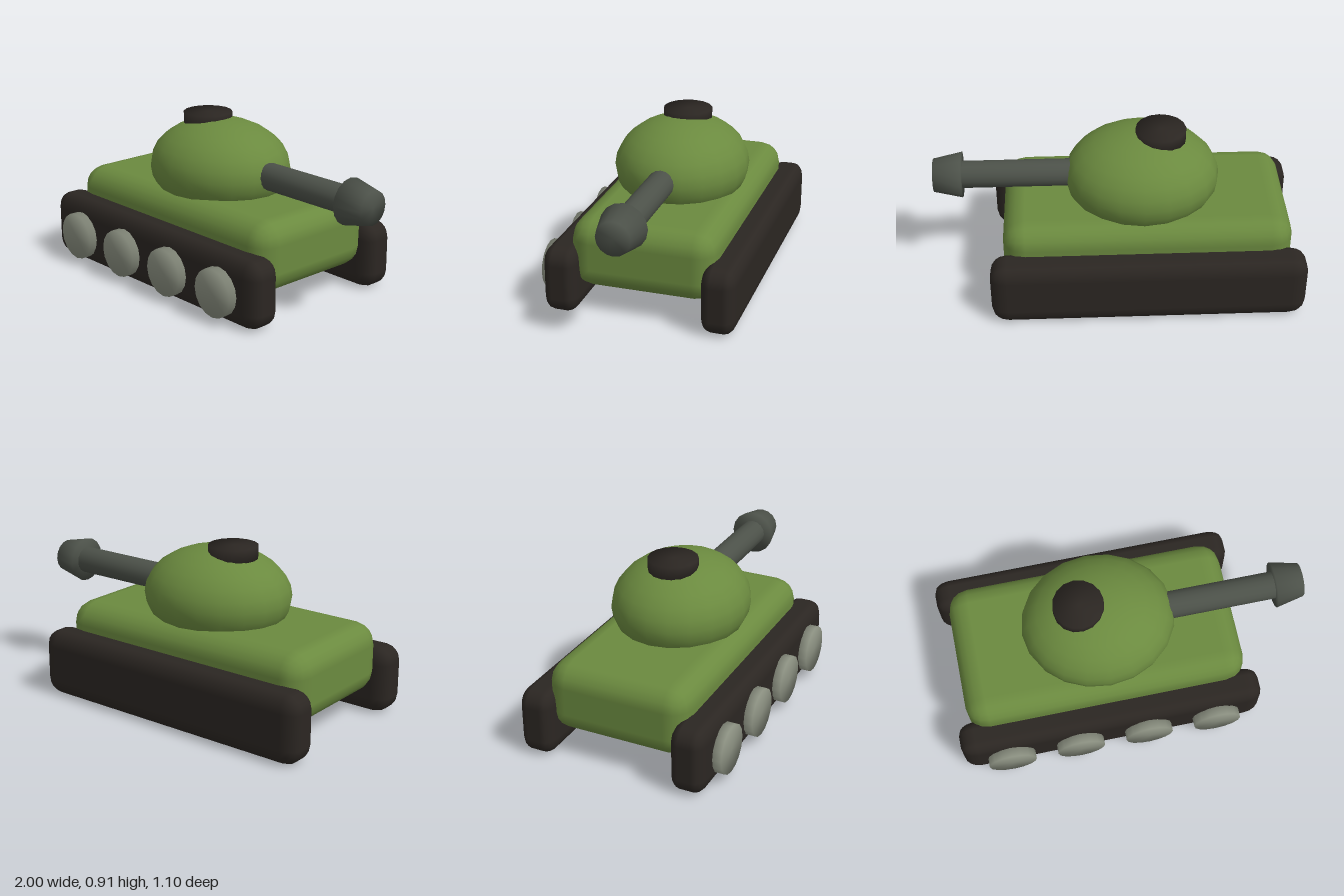
import * as THREE from 'three';
import { mergeVertices } from 'three/addons/utils/BufferGeometryUtils.js';
import { RoundedBoxGeometry } from 'three/addons/geometries/RoundedBoxGeometry.js';

const paint = (color) => new THREE.MeshStandardMaterial({ color });

// Cylinder whose normals flow over the rim, giving soft, domed shading
function softCylinder(rTop, rBottom, height, sides = 16) {
  const g = new THREE.CylinderGeometry(rTop, rBottom, height, sides);
  g.deleteAttribute('uv');
  g.deleteAttribute('normal');
  const merged = mergeVertices(g);
  merged.computeVertexNormals();
  return merged;
}

export function createModel() {
  const model = new THREE.Group();
  const green = paint(0x6b8a3f);
  const dark = paint(0x2b2622);
  const steel = paint(0x4c5149);
  const wheelGrey = paint(0x8a8f80);
  const midZ = -0.023;

  function add(name, geometry, material, x, y, z) {
    const mesh = new THREE.Mesh(geometry, material);
    mesh.name = name;
    mesh.position.set(x, y, z);
    model.add(mesh);
    return mesh;
  }

  // Body
  add('hull', new RoundedBoxGeometry(1.56, 0.39, 0.8, 2, 0.12), green, -0.15, 0.325, midZ);

  // Tracks: rounded slabs squeezed in depth
  for (const side of [1, -1]) {
    const g = new RoundedBoxGeometry(1.7, 0.37, 0.285, 2, 0.09);
    g.scale(1, 1, 0.19 / 0.285);
    add(side > 0 ? 'frontTrack' : 'backTrack', g, dark, -0.15, 0.185, midZ + side * 0.43);
  }

  // Road wheels, on the front track only
  for (let i = 0; i < 4; i++) {
    add('wheel' + (i + 1), softCylinder(0.133, 0.133, 0.08), wheelGrey, -0.735 + i * 0.39, 0.168, 0.51)
      .rotation.x = Math.PI / 2;
  }

  // Turret and hatch
  const dome = new THREE.SphereGeometry(1, 20, 14);
  dome.scale(0.42, 0.266, 0.37);
  add('turret', dome, green, -0.13, 0.618, midZ);
  add('hatch', softCylinder(0.136, 0.136, 0.1), dark, -0.23, 0.856, midZ);

  // Gun, pointing along +x
  add('barrel', softCylinder(0.075, 0.075, 0.7), steel, 0.53, 0.635, midZ).rotation.z = -Math.PI / 2;
  add('muzzle', softCylinder(0.092, 0.126, 0.155), steel, 0.9225, 0.635, midZ).rotation.z = -Math.PI / 2;

  return model;
}
